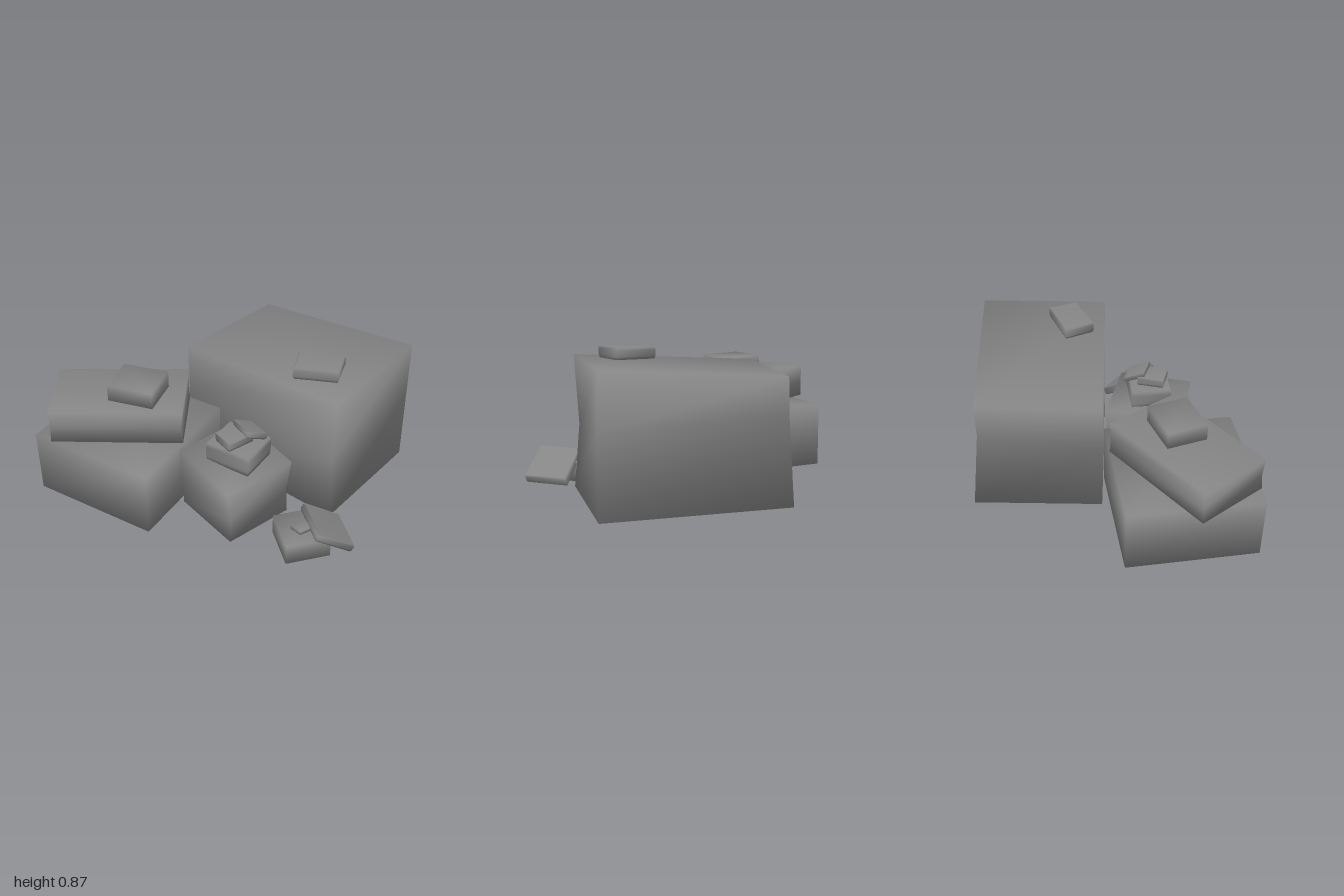
import * as THREE from 'three';

const material = new THREE.MeshStandardMaterial({ color: 0x858585 });

// Skin a stack of four-cornered rings (bottom to top; corners: back left, back right, front right, front left)
// with corners shared, so the shading rolls softly over the edges
function stack(name, rings) {
  const index = [];
  const last = (rings.length - 1) * 4;
  for (let r = 0; r < last; r += 4) {
    for (let i = 0; i < 4; i++) {
      const a = r + i, b = r + (i + 1) % 4;
      index.push(b, a, a + 4, b, a + 4, b + 4);
    }
  }
  index.push(0, 1, 2, 0, 2, 3);
  index.push(last, last + 3, last + 2, last, last + 2, last + 1);
  const geometry = new THREE.BufferGeometry();
  geometry.setAttribute('position', new THREE.Float32BufferAttribute(rings.flat(2), 3));
  geometry.setIndex(index);
  geometry.computeVertexNormals();
  const mesh = new THREE.Mesh(geometry, material);
  mesh.name = name;
  return mesh;
}

// Flat ring at one height from [x, z] corners
const ring = (corners, y) => corners.map(([x, z]) => [x, y, z]);

// Shrink a ring towards its centre and shift it by an offset
function inset(corners, scale, offset) {
  const centre = [0, 1, 2].map(k => corners.reduce((sum, c) => sum + c[k], 0) / 4);
  return corners.map(c => c.map((v, k) => centre[k] + (v - centre[k]) * scale + offset[k]));
}

// Slab with softened upper and lower rims; drop leads from top face to bottom face
function stone(name, top, drop, rim = 0.95) {
  const levels = [[1, rim], [0.75, 1], [0.25, 1], [0, rim]];
  return stack(name, levels.map(([t, s]) => inset(top, s, drop.map(d => d * t))));
}

export function createModel() {
  const group = new THREE.Group();

  // Large boulder with leaning, slightly pinched sides
  group.add(stack('largeBoulder', [
    ring([[-0.06, -0.82], [0.99, -0.51], [0.77, 0.26], [-0.29, -0.06]], 0),
    [[-0.06, 0.52, -0.765], [0.985, 0.48, -0.505], [0.75, 0.39, 0.22], [-0.29, 0.45, -0.05]],
    [[-0.05, 0.73, -0.77], [0.98, 0.813, -0.51], [0.76, 0.803, 0.255], [-0.3, 0.738, -0.06]],
  ]));

  // Left pair of boulders and the block on them
  const base = [[-0.84, -0.08], [-0.05, 0.02], [-0.15, 0.815], [-0.94, 0.715]];
  group.add(stack('leftLowerBoulder', [ring(base, 0), ring(base, 0.4)]));

  const slab = [[-1, 0.31], [-0.27, -0.01], [-0.1, 0.435], [-0.82, 0.735]];
  const slabMiddle = [[-0.995, 0.31], [-0.27, 0], [-0.115, 0.43], [-0.82, 0.725]];
  group.add(stack('leftUpperBoulder', [ring(slab, 0.4), ring(slabMiddle, 0.5), ring(slab, 0.61)]));

  const cap = [[-0.58, 0.24], [-0.3, 0.21], [-0.28, 0.46], [-0.56, 0.485]];
  group.add(stack('leftCapStone', [ring(cap, 0.605), ring(cap, 0.715)]));

  // Middle boulder
  group.add(stack('middleBoulder', [
    ring([[0.12, 0.09], [0.52, 0.31], [0.32, 0.7], [-0.08, 0.49]], 0),
    ring([[0.12, 0.09], [0.51, 0.31], [0.32, 0.695], [-0.08, 0.49]], 0.16),
    [[0.12, 0.4, 0.08], [0.535, 0.375, 0.31], [0.315, 0.37, 0.725], [-0.09, 0.4, 0.5]],
  ]));

  // Small stones stacked on the middle boulder
  group.add(
    stone('middleStone', ring([[0.12, 0.25], [0.4, 0.3], [0.36, 0.545], [0.08, 0.5]], 0.505), [0, -0.125, 0], 0.97),
    stone('middleSmallStone', ring([[0.2, 0.31], [0.32, 0.375], [0.235, 0.525], [0.12, 0.455]], 0.56), [0, -0.055, 0], 0.98),
    stone('middleTiltedStone',
      [[0.25, 0.535, 0.235], [0.375, 0.535, 0.31], [0.3, 0.6, 0.425], [0.18, 0.6, 0.345]], [0.01, -0.04, 0.01]),
  );

  // Stone on the large boulder
  group.add(stone('largeBoulderStone',
    [[0.405, 0.86, -0.1], [0.68, 0.872, -0.14], [0.7, 0.872, 0.045], [0.44, 0.86, 0.09]], [0, -0.07, 0]));

  // Stones on the ground at the right
  const ground = [[0.71, 0.36], [0.88, 0.57], [0.675, 0.735], [0.51, 0.52]];
  group.add(
    stack('groundStone', [ring(ground, 0), ring(ground, 0.125)]),
    stack('pebble', [0.12, 0.15].map(y => ring([[0.69, 0.5], [0.76, 0.54], [0.71, 0.61], [0.64, 0.58]], y))),
    stone('leaningStone',
      [[0.83, 0.05, 0.27], [1, 0.05, 0.49], [0.83, 0.195, 0.635], [0.66, 0.195, 0.415]], [-0.02, -0.05, 0.01], 0.96),
  );

  return group;
}
